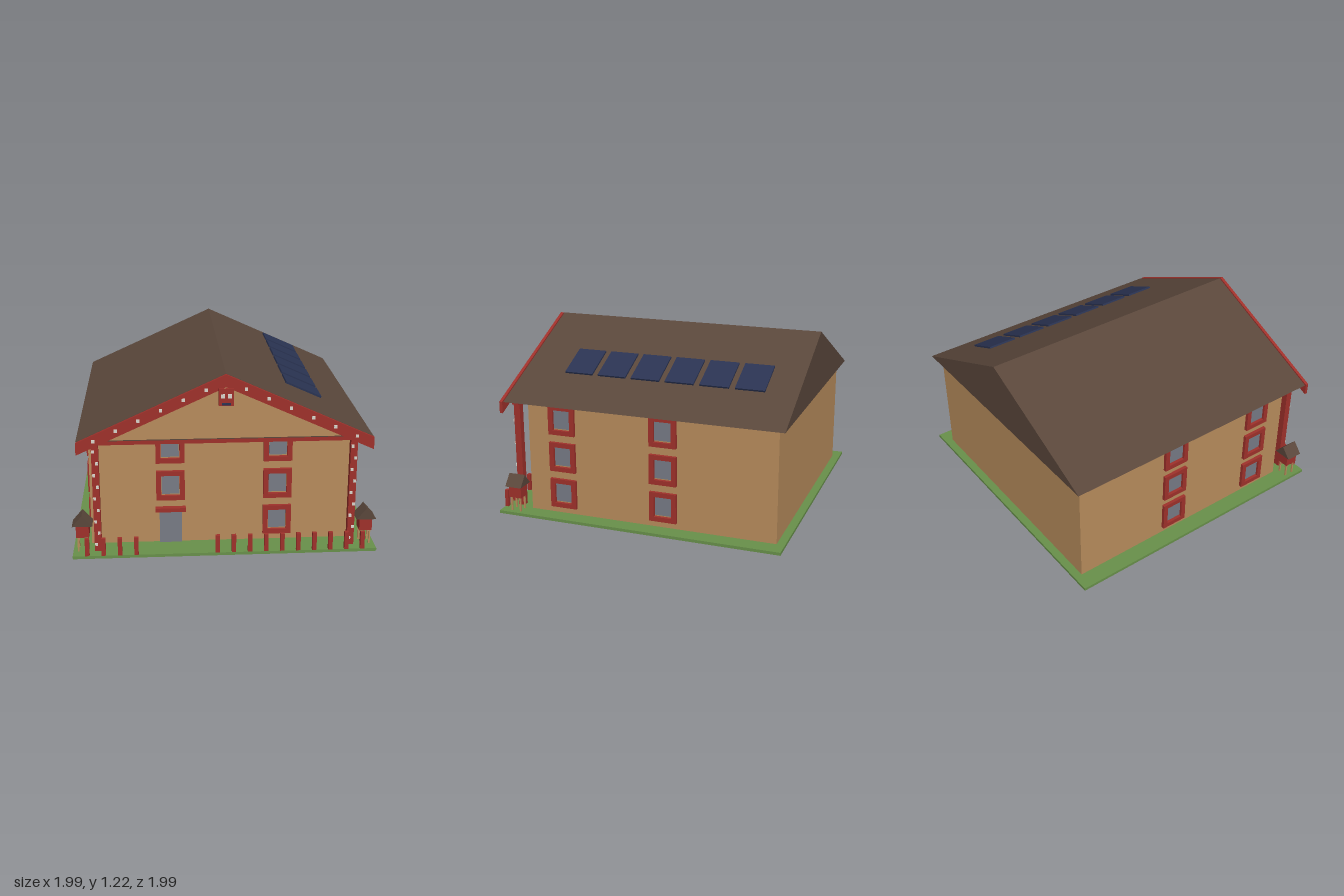
import * as THREE from 'three';

const mat = (name, color) => {
  const m = new THREE.MeshStandardMaterial({ color });
  m.name = name;
  return m;
};

export function createModel() {
  const root = new THREE.Group();
  root.name = 'gabledHouse';

  const tan = mat('tan wall', 0xb88c5c);
  const red = mat('red timber', 0x9f312b);
  const brown = mat('brown roof', 0x5a473b);
  const green = mat('grass green', 0x68904a);
  const grey = mat('grey glass', 0x777b85);
  const navy = mat('navy panel', 0x2a3352);
  const pale = mat('pale stud', 0xd8d4ca);

  const add = (parent, name, geo, material, x = 0, y = 0, z = 0) => {
    const m = new THREE.Mesh(geo, material);
    m.name = name;
    m.position.set(x, y, z);
    parent.add(m);
    return m;
  };
  // Box centred in x and z, given its bottom height
  const box = (parent, name, material, w, h, d, x, y0, z) =>
    add(parent, name, new THREE.BoxGeometry(w, h, d), material, x, y0 + h / 2, z);
  const shapeOf = (pts) => new THREE.Shape(pts.map(([x, y]) => new THREE.Vector2(x, y)));
  const extrude = (shape, depth) => new THREE.ExtrudeGeometry(shape, { depth, bevelEnabled: false });
  // Triangular prism along z, starting at z = 0
  const prism = (half, height, depth) => extrude(shapeOf([[-half, 0], [half, 0], [0, height]]), depth);

  // Ground and main body
  box(root, 'lawn', green, 1.99, 0.02, 1.99, 0, 0, 0);
  box(root, 'walls', tan, 1.76, 0.775, 1.74, 0, 0.02, -0.07);

  // Roof, front gable and bargeboards
  const EAVE = 0.79, RIDGE = 1.22, HALF = 0.947;
  const slope = (RIDGE - EAVE) / HALF;
  add(root, 'roof', prism(HALF, RIDGE - EAVE, 1.94), brown, 0, EAVE, -0.99);
  add(root, 'gablePanel', prism(0.91, 0.91 * slope, 0.006), tan, 0, EAVE + 0.008, 0.95);
  const drop = 0.08;
  add(root, 'bargeboards', extrude(shapeOf([
    [-HALF, EAVE], [-HALF, EAVE - drop], [0, RIDGE - drop],
    [HALF, EAVE - drop], [HALF, EAVE], [0, RIDGE],
  ]), 0.022), red, 0, 0, 0.958);

  // Studs on the bargeboards
  for (const s of [-1, 1]) {
    for (let i = 0; i < 6; i++) {
      const x = 0.125 + i * 0.142;
      box(root, 'bargeboardStud', pale, 0.02, 0.02, 0.01, s * x, RIDGE - slope * x - 0.048, 0.983);
    }
  }

  // Carved mask under the ridge
  const mask = new THREE.Group();
  mask.name = 'gableMask';
  root.add(mask);
  box(mask, 'maskFace', red, 0.094, 0.11, 0.018, 0, 1.022, 0.984);
  for (const s of [-1, 1]) box(mask, 'maskEye', pale, 0.026, 0.026, 0.007, s * 0.022, 1.073, 0.995);
  box(mask, 'maskMouth', navy, 0.055, 0.015, 0.007, 0, 1.027, 0.995);

  // Porch beam and studded corner posts
  box(root, 'porchBeam', red, 1.75, 0.035, 0.045, 0, 0.755, 0.902);
  for (const s of [-1, 1]) {
    box(root, 'cornerPost', red, 0.045, 0.77, 0.045, s * 0.832, 0.02, 0.902);
    for (let i = 0; i < 9; i++) {
      const dx = i % 2 ? 0.01 : -0.01;
      box(root, 'postStud', pale, 0.018, 0.018, 0.01, s * 0.832 + dx, 0.705 - i * 0.0805, 0.929);
    }
  }

  // Window: frame with a hole, glass slightly above the centre of the hole
  const frameShape = shapeOf([[-0.094, -0.102], [0.094, -0.102], [0.094, 0.102], [-0.094, 0.102]]);
  frameShape.holes.push(new THREE.Path(
    [[-0.061, -0.07], [-0.061, 0.07], [0.061, 0.07], [0.061, -0.07]].map(([x, y]) => new THREE.Vector2(x, y))));
  const frameGeo = extrude(frameShape, 0.022);
  const glassGeo = new THREE.BoxGeometry(0.115, 0.13, 0.008);
  const addWindow = (x, y, z, turn) => {
    const g = new THREE.Group();
    g.name = 'window';
    add(g, 'windowFrame', frameGeo, red);
    add(g, 'windowGlass', glassGeo, grey, 0, 0.005, 0.005);
    g.position.set(x, y, z);
    g.rotation.y = turn;
    root.add(g);
  };
  [0.166, 0.425, 0.685].forEach((y, row) => {
    addWindow(0.353, y, 0.8, 0);
    if (row > 0) addWindow(-0.353, y, 0.8, 0);
    for (const s of [-1, 1]) {
      for (const z of [0.55, -0.171]) addWindow(s * 0.88, y, z, s * Math.PI / 2);
    }
  });

  // Door
  box(root, 'door', grey, 0.147, 0.228, 0.02, -0.354, 0.02, 0.805);
  box(root, 'doorLintel', red, 0.2, 0.027, 0.04, -0.354, 0.246, 0.82);

  // Front fence with an opening by the door
  for (let i = 0; i < 18; i++) {
    if (i >= 4 && i <= 7) continue;
    box(root, 'fencePost', red, 0.028, 0.12, 0.024, -0.9 + i * 0.1059, 0.02, 0.984);
  }

  // Small stilted huts at the front corners
  for (const s of [-1, 1]) {
    const hut = new THREE.Group();
    hut.name = 'stiltHut';
    hut.position.set(s * 0.931, 0, 0.882);
    root.add(hut);
    box(hut, 'hutBody', red, 0.084, 0.085, 0.092, 0, 0.12, 0);
    add(hut, 'hutRoof', prism(0.066, 0.076, 0.118), brown, 0, 0.203, -0.059);
    for (const x of [-0.03, 0.03]) {
      for (const z of [-0.032, 0.032]) box(hut, 'hutStilt', tan, 0.011, 0.1, 0.011, x, 0.02, z);
    }
  }

  // Row of solar panels floating just above the left slope
  for (let i = 0; i < 6; i++) {
    const p = add(root, 'solarPanel', new THREE.BoxGeometry(0.26, 0.012, 0.2), navy, 0.539, 1.007, -0.68 + i * 0.241);
    p.rotation.z = -Math.atan(slope);
  }

  return root;
}
